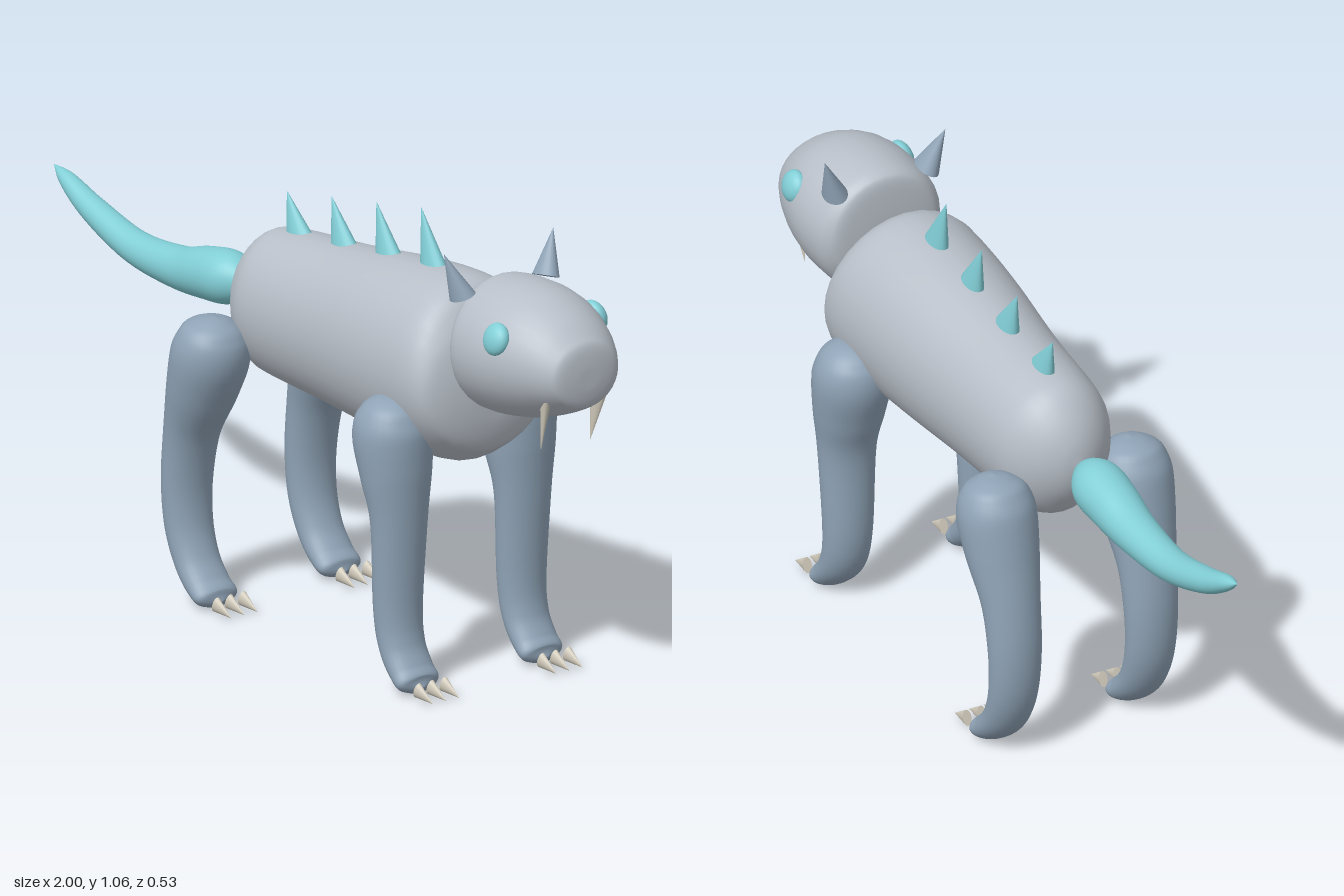
import * as THREE from 'three';

const material = (name, color) => {
  const m = new THREE.MeshStandardMaterial({ color });
  m.name = name;
  return m;
};

// Smooth skin over stations [x, y, vertical radius, side radius];
// rings follow the path, or stay upright for the trunk and head.
function loft(stations, upright = false, steps = 6, sides = 32) {
  const centres = new THREE.CatmullRomCurve3(stations.map(s => new THREE.Vector3(s[0], s[1], 0)), false, 'catmullrom');
  const radii = new THREE.CatmullRomCurve3(stations.map(s => new THREE.Vector3(s[2], s[3], 0)), false, 'catmullrom');
  const rings = (stations.length - 1) * steps;
  const pos = [], index = [];
  for (let i = 0; i <= rings; i++) {
    const c = centres.getPoint(i / rings), r = radii.getPoint(i / rings);
    const t = upright ? new THREE.Vector3(1, 0, 0) : centres.getTangent(i / rings);
    const ry = Math.max(r.x, 0.0002), rz = Math.max(r.y, 0.0002);
    for (let j = 0; j < sides; j++) {
      const a = (j / sides) * Math.PI * 2;
      pos.push(c.x - t.y * ry * Math.cos(a), c.y + t.x * ry * Math.cos(a), rz * Math.sin(a));
      if (i < rings) {
        const p = i * sides + j, q = i * sides + (j + 1) % sides;
        index.push(p, q, p + sides, q, q + sides, p + sides);
      }
    }
  }
  const g = new THREE.BufferGeometry();
  g.setAttribute('position', new THREE.Float32BufferAttribute(pos, 3));
  g.setIndex(index);
  g.computeVertexNormals();
  return g;
}

export function createModel() {
  const model = new THREE.Group();
  model.name = 'hornedBeast';
  const hide = material('pale grey hide', 0xb8bfc8);
  const limb = material('slate blue limbs', 0x8fa3b6);
  const teal = material('teal', 0x82ced6);
  const bone = material('bone', 0xd2ccbc);

  const add = (name, geometry, mat, parent = model) => {
    const mesh = new THREE.Mesh(geometry, mat);
    mesh.name = name;
    parent.add(mesh);
    return mesh;
  };

  // Cone from base centre to tip with an oval base
  const spike = (name, base, tip, rx, rz, mat, parent = model) => {
    const b = new THREE.Vector3(...base), d = new THREE.Vector3(...tip).sub(b);
    const mesh = add(name, new THREE.ConeGeometry(1, 1, 20), mat, parent);
    mesh.scale.set(rx, d.length(), rz);
    mesh.position.copy(b).addScaledVector(d, 0.5);
    mesh.quaternion.setFromUnitVectors(new THREE.Vector3(0, 1, 0), d.normalize());
    return mesh;
  };

  // Trunk
  add('body', loft([
    [-0.262, 0.715, 0, 0], [-0.25, 0.715, 0.06, 0.045], [-0.22, 0.715, 0.115, 0.09],
    [-0.17, 0.712, 0.163, 0.127], [-0.1, 0.713, 0.176, 0.147], [0.1, 0.72, 0.19, 0.16],
    [0.3, 0.73, 0.209, 0.181], [0.46, 0.735, 0.219, 0.193], [0.56, 0.735, 0.212, 0.196],
    [0.612, 0.72, 0.169, 0.182], [0.638, 0.7, 0.125, 0.14], [0.652, 0.69, 0.06, 0.07], [0.654, 0.69, 0, 0],
  ], true), hide);

  // Head with a blunt snout
  add('head', loft([
    [0.645, 0.845, 0, 0], [0.647, 0.845, 0.07, 0.07], [0.653, 0.85, 0.125, 0.12], [0.668, 0.847, 0.147, 0.143],
    [0.7, 0.842, 0.16, 0.159], [0.78, 0.847, 0.158, 0.165], [0.86, 0.85, 0.144, 0.152],
    [0.93, 0.847, 0.115, 0.126], [0.975, 0.84, 0.087, 0.1], [0.992, 0.837, 0.07, 0.08],
    [0.999, 0.834, 0.035, 0.04], [1, 0.833, 0, 0],
  ], true), hide);

  // Tail, thick at the root and curling up
  add('tail', loft([
    [-0.255, 0.72, 0, 0], [-0.285, 0.715, 0.037, 0.034], [-0.34, 0.711, 0.062, 0.062],
    [-0.42, 0.7, 0.061, 0.061], [-0.525, 0.684, 0.05, 0.052], [-0.69, 0.687, 0.039, 0.041],
    [-0.85, 0.733, 0.031, 0.032], [-0.95, 0.779, 0.019, 0.02], [-1, 0.802, 0, 0],
  ]), teal);

  // Back spikes, taller toward the shoulders
  for (let i = 0; i < 4; i++) {
    const x = -0.13 + i * 0.167, y = 0.975 + i * 0.0325;
    spike('backSpike', [x + 0.045, 0.878 + i * 0.021, 0], [x, y, 0], 0.041, 0.023, teal);
  }

  // Paired features of the face
  for (const s of [1, -1]) {
    spike('ear', [0.681, 0.968, s * 0.118], [0.66, 1.07, s * 0.155], 0.037, 0.028, limb);
    spike('fang', [0.936, 0.785, s * 0.076], [0.91, 0.65, s * 0.07], 0.024, 0.012, bone);
    const eye = add('eye', new THREE.SphereGeometry(1, 24, 16), teal);
    eye.scale.set(0.038, 0.038, 0.023);
    eye.position.set(0.835, 0.911, s * 0.139);
    eye.rotation.x = -s * 0.3;
  }

  // Legs: rounded top, tapering to a forward-curling foot
  const frontLeg = loft([
    [0.494, 0.696, 0, 0], [0.494, 0.688, 0.04, 0.04], [0.494, 0.66, 0.075, 0.075], [0.495, 0.605, 0.091, 0.092],
    [0.508, 0.51, 0.076, 0.085], [0.519, 0.4, 0.056, 0.07], [0.515, 0.2, 0.05, 0.06],
    [0.53, 0.11, 0.045, 0.057], [0.566, 0.056, 0.036, 0.057], [0.597, 0.034, 0.027, 0.052], [0.614, 0.029, 0, 0],
  ]);
  const rearLeg = loft([
    [-0.168, 0.7, 0, 0], [-0.169, 0.69, 0.04, 0.04], [-0.173, 0.665, 0.073, 0.075], [-0.184, 0.61, 0.09, 0.092],
    [-0.214, 0.52, 0.079, 0.086], [-0.253, 0.41, 0.058, 0.07], [-0.272, 0.29, 0.05, 0.064], [-0.266, 0.185, 0.047, 0.06],
    [-0.236, 0.105, 0.043, 0.057], [-0.192, 0.054, 0.036, 0.057], [-0.155, 0.034, 0.026, 0.052], [-0.138, 0.029, 0, 0],
  ]);
  for (const [name, geometry, clawX] of [['frontLeg', frontLeg, 0.637], ['rearLeg', rearLeg, -0.115]]) {
    for (const s of [1, -1]) {
      const leg = new THREE.Group();
      leg.name = name;
      leg.position.z = s * 0.175;
      model.add(leg);
      add(name + 'Limb', geometry, limb, leg);
      for (const k of [-1, 0, 1]) {
        spike('claw', [clawX, 0.036, k * 0.037], [clawX + 0.058, 0.018, k * 0.037], 0.019, 0.011, bone, leg);
      }
    }
  }
  return model;
}
